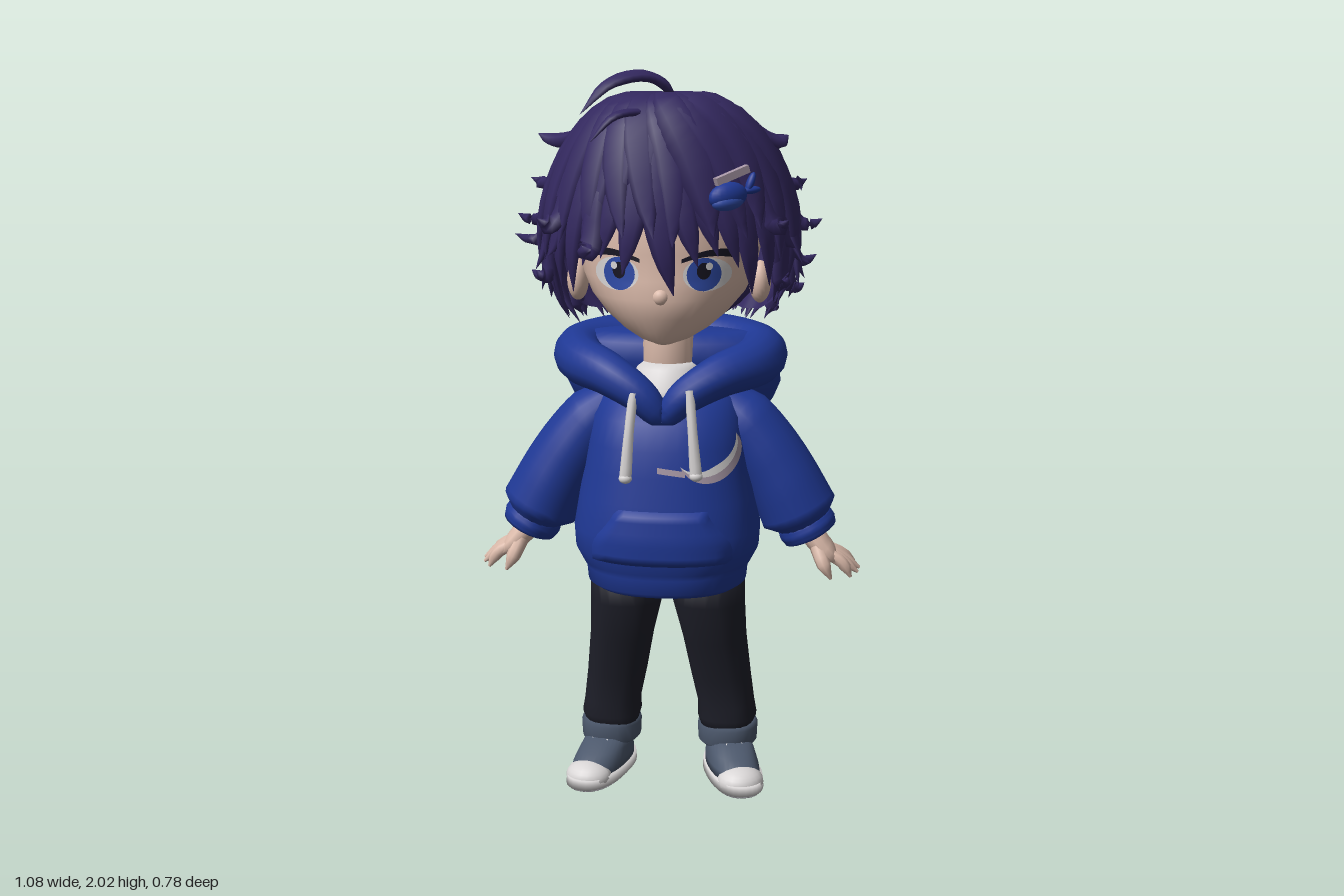
import * as THREE from 'three';

const V = (x, y, z) => new THREE.Vector3(x, y, z);
const mat = (name, color, side = THREE.FrontSide) => {
  const m = new THREE.MeshStandardMaterial({ color, side });
  m.name = name;
  return m;
};

// Grid surface: fn(u, v) gives a point; u may wrap round
function surface(nu, nv, fn, wrap = true) {
  const pos = [], idx = [], cols = wrap ? nu : nu + 1;
  for (let j = 0; j <= nv; j++)
    for (let i = 0; i < cols; i++) pos.push(...fn(i / nu, j / nv).toArray());
  for (let j = 0; j < nv; j++)
    for (let i = 0; i < nu; i++) {
      const k = (i + 1) % cols, a = j * cols + i, b = j * cols + k;
      idx.push(a, b, b + cols, a, b + cols, a + cols);
    }
  const g = new THREE.BufferGeometry();
  g.setAttribute('position', new THREE.Float32BufferAttribute(pos, 3));
  g.setIndex(idx);
  g.computeVertexNormals();
  return g;
}

// Stacked rounded rings, each [y, cx, cz, rx, rz], closed at both ends
function loft(rows, n = 2, seg = 32) {
  const first = rows[0], last = rows[rows.length - 1];
  const all = [[...first.slice(0, 3), 0.001, 0.001], ...rows, [...last.slice(0, 3), 0.001, 0.001]];
  const pw = c => Math.sign(c) * Math.pow(Math.abs(c), 2 / n);
  return surface(seg, all.length - 1, (u, v) => {
    const [y, cx, cz, rx, rz] = all[Math.round(v * (all.length - 1))], a = u * Math.PI * 2;
    return V(cx + rx * pw(Math.sin(a)), y, cz + rz * pw(Math.cos(a)));
  });
}

// Front surface height of a loft, for details laid on it
const frontZ = (rows, n) => (x, y) => {
  let i = 0;
  while (i < rows.length - 2 && rows[i + 1][0] < y) i++;
  const t = (y - rows[i][0]) / (rows[i + 1][0] - rows[i][0]);
  const [, , cz, rx, rz] = rows[i].map((q, k) => q + (rows[i + 1][k] - q) * t);
  return cz + rz * Math.pow(Math.max(0, 1 - Math.pow(Math.abs(x / rx), n)), 1 / n);
};

// Oval sweep along a curve; w and h are functions of the position along it
function sweep(pts, w, h, out, sides = 12, seg = 14, closed = false) {
  const c = new THREE.CatmullRomCurve3(pts.map(p => p.isVector3 ? p : V(...p)), closed);
  return surface(sides, seg, (u, v) => {
    const p = c.getPoint(v), T = c.getTangent(v), N = (typeof out === 'function' ? out(p) : out).clone();
    N.addScaledVector(T, -N.dot(T)).normalize();
    const S = N.clone().cross(T), a = u * Math.PI * 2;
    return p.addScaledVector(S, w(v) * Math.cos(a)).addScaledVector(N, h(v) * Math.sin(a));
  });
}
const ramp = list => v => {
  const s = v * (list.length - 1), i = Math.min(list.length - 2, Math.floor(s));
  return list[i] + (list[i + 1] - list[i]) * (s - i);
};
const smooth = THREE.MathUtils.smoothstep;

export function createModel() {
  const model = new THREE.Group();
  const hair = mat('hair', 0x33285f, THREE.DoubleSide), blue = mat('hoodie', 0x1f3894);
  const black = mat('trousers', 0x1e1f29), skin = mat('skin', 0xdcbbab);
  const denim = mat('denim grey', 0x4c586c), white = mat('off white', 0xd9d6d6, THREE.DoubleSide);
  const iris = mat('iris', 0x2f4ba6), ink = mat('ink', 0x171522, THREE.DoubleSide);
  const mauve = mat('mauve grey', 0xa898a6, THREE.DoubleSide), sole = mat('sole grey', 0xa9a6ae);
  const add = (name, g, m, parent = model) => {
    const o = new THREE.Mesh(g, m);
    o.name = name;
    parent.add(o);
  };
  const mirror = g => {
    const c = g.clone().scale(-1, 1, 1), a = c.index.array;
    for (let i = 0; i < a.length; i += 3) [a[i], a[i + 1]] = [a[i + 1], a[i]];
    c.computeVertexNormals();
    return c;
  };
  const pair = (name, g, m) => { add(name + 'Left', g, m); add(name + 'Right', mirror(g), m); };
  const ball = (x, y, z, rx, ry, rz) => new THREE.SphereGeometry(1, 20, 14).scale(rx, ry, rz).translate(x, y, z);

  // Hoodie body, hem and front pocket
  const torso = [[0.59, 0, 0.115, 0.2, 0.18], [0.605, 0, 0.115, 0.222, 0.198], [0.645, 0, 0.115, 0.226, 0.2],
    [0.66, 0, 0.115, 0.235, 0.203], [0.7, 0, 0.115, 0.256, 0.217], [0.76, 0, 0.115, 0.26, 0.219],
    [0.85, 0, 0.11, 0.245, 0.21], [0.93, 0, 0.105, 0.23, 0.2], [1.0, 0, 0.1, 0.22, 0.193],
    [1.07, 0, 0.09, 0.21, 0.175], [1.12, 0, 0.075, 0.185, 0.15], [1.16, 0, 0.06, 0.13, 0.11]];
  const chestZ = frontZ(torso, 2.3);
  add('hoodieBody', loft(torso, 2.3, 40), blue);
  const edge = t => Math.min(t, 1 - t) < 0.01 ? -0.006 : 0.016;
  add('pocket', surface(16, 10, (u, v) => {
    const y = 0.685 + 0.16 * v, x = (2 * u - 1) * (0.2 - 0.07 * smooth(v, 0.25, 1));
    return V(x, y, chestZ(x, y) + Math.min(edge(u), edge(v)));
  }, false), blue);
  // Chest decoration: a two-tone crescent with a small dash beside it
  const crescent = (r0, r1, m) => add('chestCrescent', surface(24, 2, (u, v) => {
    const a = Math.PI * (1.12 + 1.08 * u), r = 0.076 - 0.042 * Math.sin(Math.PI * u) * (r0 + (r1 - r0) * v);
    const x = 0.128 + r * 1.08 * Math.cos(a), y = 0.992 + r * Math.sin(a);
    return V(x, y, chestZ(x, y) + 0.007);
  }, false), m);
  crescent(0, 0.5, mauve);
  crescent(0.5, 1, white);
  add('chestDash', surface(8, 1, (u, v) => {
    const x = -0.01 + 0.075 * u, y = 0.945 - 0.01 * u + 0.016 * v;
    return V(x, y, chestZ(x, y) + 0.007);
  }, false), mauve);

  // Hood bag and thick collar roll
  add('hood', loft([[0.925, 0, -0.1, 0.08, 0.05], [0.95, 0, -0.11, 0.17, 0.085], [1.01, 0, -0.1, 0.24, 0.118],
    [1.08, 0, -0.08, 0.285, 0.146], [1.13, 0, -0.065, 0.305, 0.16], [1.16, 0, -0.055, 0.303, 0.15], [1.21, 0, -0.045, 0.318, 0.16],
    [1.26, 0, -0.04, 0.29, 0.145], [1.285, 0, -0.03, 0.23, 0.11]], 2.2, 36), blue);
  const side = [[0.06, 1.145, 0.25], [0.15, 1.195, 0.21], [0.235, 1.215, 0.12], [0.25, 1.225, 0], [0.15, 1.235, -0.1]];
  const ring = [[0, 1.09, 0.25], ...side, [0, 1.24, -0.13], ...side.map(([x, y, z]) => [-x, y, z]).reverse()];
  const roll = v => 0.028 + 0.05 * Math.pow(Math.abs(Math.sin(Math.PI * v)), 0.7);
  add('hoodCollar', sweep(ring, roll, roll, V(0, 1, 0.3), 14, 60, true), blue);
  for (const [s, a, b] of [[-1, 1.16, 0.93], [1, 1.17, 0.94]]) {
    const top = V(s * 0.075, a, 0.285), end = V(s * 0.095, b, chestZ(0.095, b) + 0.016);
    add('drawstring', sweep([top, V(s * 0.085, 1.06, 0.302), end], ramp([0.013, 0.013, 0.017]), () => 0.012, V(0, 0, 1), 8, 8), white);
    add('drawstringTip', ball(end.x, end.y, end.z, 0.018, 0.014, 0.014), white);
  }
  add('shirt', loft([[1.08, 0, 0.1, 0.12, 0.13], [1.15, 0, 0.1, 0.11, 0.12], [1.2, 0, 0.09, 0.085, 0.09], [1.215, 0, 0.09, 0.07, 0.07]]), white);
  add('neck', loft([[1.16, 0, 0.09, 0.075, 0.068], [1.36, 0, 0.09, 0.065, 0.06]], 2, 18), skin);

  // Sleeves, cuffs and hands
  pair('sleeve', sweep([[0.13, 1.12, 0.07], [0.22, 1.03, 0.07], [0.3, 0.915, 0.072], [0.36, 0.8, 0.075], [0.385, 0.745, 0.075]],
    ramp([0.05, 0.09, 0.098, 0.104, 0.11, 0.06]), ramp([0.06, 0.1, 0.112, 0.118, 0.118, 0.075]), V(0, 0, 1), 20, 20), blue);
  pair('sleeveCuff', sweep([[0.37, 0.785, 0.075], [0.39, 0.745, 0.075], [0.41, 0.705, 0.075]],
    ramp([0.06, 0.08, 0.084, 0.078, 0.01]), ramp([0.07, 0.09, 0.096, 0.09, 0.01]), V(0, 0, 1), 18, 12), blue);
  pair('palm', sweep([[0.39, 0.74, 0.07], [0.43, 0.69, 0.07], [0.48, 0.643, 0.06]],
    ramp([0.034, 0.034, 0.028, 0.006]), ramp([0.042, 0.05, 0.06, 0.045]), V(0, 0, 1), 12, 9), skin);
  [[0.515, 0.605, 0.1], [0.535, 0.61, 0.068], [0.54, 0.612, 0.033], [0.525, 0.62, -0.008]].forEach(([x, y, z], i) => {
    const z0 = 0.098 - i * 0.024;
    pair('finger', sweep([[0.45, 0.672, z0], [0.49, 0.646, (z0 + z) / 2], [x, y, z]],
      ramp([0.015, 0.018, 0.016, 0.004]), ramp([0.015, 0.018, 0.016, 0.004]), V(0, 0, 1), 8, 6), skin);
  });
  pair('thumb', sweep([[0.42, 0.69, 0.1], [0.44, 0.645, 0.128], [0.46, 0.606, 0.13]], ramp([0.022, 0.02, 0.004]), ramp([0.022, 0.02, 0.004]), V(0, 0, 1), 8, 6), skin);

  // Trousers
  add('trouserSeat', loft([[0.565, 0, 0.11, 0.08, 0.09], [0.59, 0, 0.11, 0.18, 0.12], [0.64, 0, 0.11, 0.2, 0.13]], 2.4), black);
  pair('trouserLeg', loft([[0.13, 0.165, 0.06, 0.07, 0.075], [0.17, 0.168, 0.057, 0.085, 0.088], [0.21, 0.165, 0.058, 0.081, 0.084],
    [0.3, 0.15, 0.068, 0.085, 0.09], [0.42, 0.133, 0.09, 0.09, 0.105], [0.54, 0.116, 0.108, 0.102, 0.122], [0.64, 0.112, 0.112, 0.106, 0.125]], 2.4, 22), black);
  pair('trouserTurnUp', loft([[0.085, 0.17, 0.055, 0.075, 0.078], [0.095, 0.17, 0.055, 0.085, 0.09], [0.14, 0.17, 0.055, 0.087, 0.092],
    [0.155, 0.17, 0.055, 0.078, 0.083]], 2.2, 22), denim);

  // Shoes, turned outward
  const shoe = (name, g, m) => pair(name, g.rotateY(0.3).translate(0.165, 0, 0.048), m);
  shoe('shoeBottom', loft([[0, 0, 0.085, 0.07, 0.15], [0.008, 0, 0.085, 0.074, 0.156]], 2.4), sole);
  shoe('shoeSole', loft([[0.008, 0, 0.085, 0.077, 0.159], [0.034, 0, 0.085, 0.075, 0.156]], 2.4), white);
  shoe('shoeUpper', loft([[0.03, 0, 0.08, 0.071, 0.148], [0.055, 0, 0.072, 0.07, 0.135], [0.08, 0, 0.05, 0.066, 0.108],
    [0.11, 0, 0.02, 0.06, 0.075]], 2.2), denim);
  shoe('toeCap', ball(0, 0.028, 0.175, 0.066, 0.042, 0.06), white);
  for (let i = 0; i < 3; i++)
    shoe('shoeLace', new THREE.BoxGeometry(0.06 - i * 0.006, 0.009, 0.014).rotateX(0.6).translate(0, 0.07 + i * 0.015, 0.148 - i * 0.024), white);

  // Head, ears and nose
  const head = [[1.283, 0, 0.17, 0.03, 0.07], [1.295, 0, 0.16, 0.07, 0.1], [1.32, 0, 0.14, 0.115, 0.135], [1.36, 0, 0.115, 0.165, 0.182],
    [1.41, 0, 0.08, 0.21, 0.232], [1.46, 0, 0.055, 0.235, 0.248], [1.53, 0, 0.05, 0.25, 0.25], [1.62, 0, 0.05, 0.25, 0.25],
    [1.72, 0, 0.05, 0.22, 0.22], [1.82, 0, 0.05, 0.14, 0.15]];
  const faceZ = frontZ(head, 2);
  add('head', loft(head, 2, 40), skin);
  add('nose', ball(0, 1.42, 0.3, 0.022, 0.022, 0.019), skin);
  pair('ear', ball(0.25, 1.435, 0.085, 0.03, 0.058, 0.04), skin);

  // Eyes: thin layered plates following the face
  const disc = (x, y, rx, ry, off) => surface(24, 4, (u, v) => {
    const a = u * Math.PI * 2, px = x + rx * (1 - v) * Math.cos(a), py = y + ry * (1 - v) * Math.sin(a);
    return V(px, py, faceZ(px, py) + off);
  });
  pair('eyeWhite', disc(0.12, 1.478, 0.062, 0.044, 0.003), white);
  pair('iris', disc(0.112, 1.479, 0.044, 0.044, 0.005), iris);
  pair('pupil', disc(0.112, 1.488, 0.018, 0.022, 0.007), ink);
  pair('eyeShine', disc(0.126, 1.5, 0.009, 0.01, 0.009), white);
  pair('eyelash', surface(14, 2, (u, v) => {
    const x = 0.055 + 0.145 * u, y = 1.502 + 0.024 * Math.sin(Math.PI * (0.12 + 0.7 * u)) + (0.01 + 0.014 * u) * v;
    return V(x, y, faceZ(x, y) + 0.009);
  }, false), ink);

  // Hair: a grooved cap whose rim is higher in front, with tapered locks over it
  const profile = new THREE.SplineCurve([[0.01, 1.935], [0.35, 1.92], [0.61, 1.86], [0.82, 1.77], [0.95, 1.665],
    [1, 1.56], [0.97, 1.46], [0.87, 1.37], [0.72, 1.3]].map(p => new THREE.Vector2(...p)));
  const onHair = (phi, t, lift = 0) => {
    const p = profile.getPoint(Math.min(t, 1)), r = p.x + lift / 0.33, c = Math.cos(phi);
    return V(0.335 * r * Math.sin(phi), p.y + lift * 0.3, 0.125 - 0.085 * smooth(t, 0, 0.5) + (c > 0 ? 0.325 : 0.305) * r * c);
  };
  const rim = phi => 0.55 + 0.38 * smooth(Math.abs(phi), 0.75, 2.1);
  add('hairCap', surface(96, 20, (u, v) => {
    const phi = (1 - 2 * u) * Math.PI, t = v * rim(phi);
    return onHair(phi, t, 0.006 * Math.sin(phi * 17 + t * 4) * smooth(t, 0.05, 0.4) - 0.008);
  }), hair);
  add('underHair', ball(0, 1.455, -0.06, 0.24, 0.165, 0.195), hair);
  let seed = 11;
  const rnd = () => (seed = (seed * 16807) % 2147483647) / 2147483647;
  const middle = V(0, 1.55, 0.04), outward = p => p.clone().sub(middle);
  const taper = w => ramp([0.3, 0.75, 1, 1, 0.9, 0.6, 0.02].map(k => k * w));
  const lock = (phi, t0, t1, w, flick, drift) => {
    const pts = [0, 0.2, 0.4, 0.6, 0.8, 1].map(s =>
      onHair(phi + drift * (s * s - 0.5) - 0.5 * (1 - s) ** 3 * (t0 < 0.1 ? 1 : 0), t0 + (t1 - t0) * s, 0.004 + flick * s ** 4));
    add('hairLock', sweep(pts, taper(w), taper(w * 0.42), outward, 6, 14), hair);
  };
  for (let i = 0; i < 26; i++) {
    const phi = -Math.PI + (i + 0.5) * Math.PI / 13;
    lock(phi, 0.012, rim(phi) + 0.03 + rnd() * 0.07, 0.046 + rnd() * 0.022, 0.01 + rnd() * 0.02, 0.35 * (rnd() - 0.3));
    if (Math.abs(phi) > 1)
      for (let k = 0; k < 3; k++)
        lock(phi + rnd() * 0.24, 0.4 + k * 0.08, Math.min(1, rim(phi) + 0.02 + rnd() * 0.1), 0.032, rnd() * 0.06, 0.4 * (rnd() - 0.5));
  }
  // Fringe
  for (const [phi, t] of [[-1.1, 0.85], [-0.92, 0.79], [-0.74, 0.8], [-0.56, 0.7], [-0.38, 0.67], [-0.2, 0.72], [0.02, 0.79],
    [0.2, 0.69], [0.36, 0.66], [0.54, 0.7], [0.72, 0.8], [0.92, 0.78], [1.1, 0.85]])
    lock(phi, 0.12, t, 0.044, 0.006, phi > 0 ? 0.2 : -0.16);
  // Flicked ends, each given by its tip; the root lies along the cap above it
  for (const [x, y, z] of [[-0.365, 1.825, 0.02], [0.32, 1.825, 0.03], [-0.42, 1.61, 0.05], [-0.45, 1.54, -0.06], [0.415, 1.6, 0.02],
    [0.4, 1.49, -0.08], [-0.39, 1.45, 0.02], [0.37, 1.43, 0.06], [-0.35, 1.47, 0.17], [0.33, 1.46, 0.18], [-0.37, 1.59, -0.23],
    [0.35, 1.57, -0.26], [0.2, 1.58, -0.34], [0.04, 1.56, -0.385], [-0.06, 1.55, -0.375], [-0.2, 1.47, -0.31], [0.12, 1.46, -0.32],
    [-0.12, 1.42, -0.31], [0.27, 1.42, -0.24], [-0.3, 1.41, -0.2], [0.33, 1.62, 0.25], [-0.33, 1.62, 0.27], [-0.2, 1.56, 0.35],
    [0.29, 1.36, -0.06], [-0.29, 1.36, -0.06], [0.04, 1.36, -0.29], [-0.4, 1.7, -0.05], [0.37, 1.7, -0.08]]) {
    const phi = Math.atan2(x / 0.335, (z - 0.04) / 0.315);
    let t = 0.1;
    while (t < 0.95 && profile.getPoint(t).y > y) t += 0.01;
    const bend = onHair(phi, t + 0.01, 0.015);
    const pts = [onHair(phi, Math.max(0.03, t - 0.38), -0.012), onHair(phi, t - 0.18, 0.004), bend,
      bend.clone().lerp(V(x, y, z), 0.55).add(V(0, -0.012, 0)), V(x, y, z)];
    add('hairFlick', sweep(pts, taper(0.038), taper(0.02), outward, 6, 16), hair);
  }
  // Curled strands on the crown
  add('crownStrand', sweep([[0.01, 1.88, 0.12], [0.005, 1.95, 0.15], [-0.05, 1.985, 0.19], [-0.14, 1.965, 0.25], [-0.21, 1.89, 0.285]],
    taper(0.028), taper(0.014), V(0.3, 1, 0.2), 8, 18), hair);
  add('crownStrandSmall', sweep([[-0.02, 1.88, 0.2], [-0.06, 1.895, 0.26], [-0.12, 1.885, 0.31], [-0.18, 1.82, 0.335]],
    taper(0.016), taper(0.01), V(0, 1, 0.3), 8, 14), hair);

  // Hair clip: a small sea creature with a bar above it
  const clip = new THREE.Group();
  clip.name = 'hairClip';
  clip.position.set(0.185, 1.69, 0.328);
  clip.rotation.set(0, 0.6, 0.12);
  model.add(clip);
  add('clipBody', ball(-0.01, 0, 0, 0.055, 0.036, 0.028), blue, clip);
  add('clipBelly', ball(-0.015, -0.014, 0.005, 0.046, 0.022, 0.025), iris, clip);
  for (const s of [-1, 1])
    add('clipTail', ball(0, 0, 0, 0.028, 0.01, 0.012).rotateZ(0.5 + s * 0.55).translate(0.06, 0.014 + s * 0.01, 0), blue, clip);
  add('clipBar', new THREE.BoxGeometry(0.1, 0.02, 0.018).rotateZ(0.2).translate(0.01, 0.05, -0.005), mauve, clip);

  return model;
}
